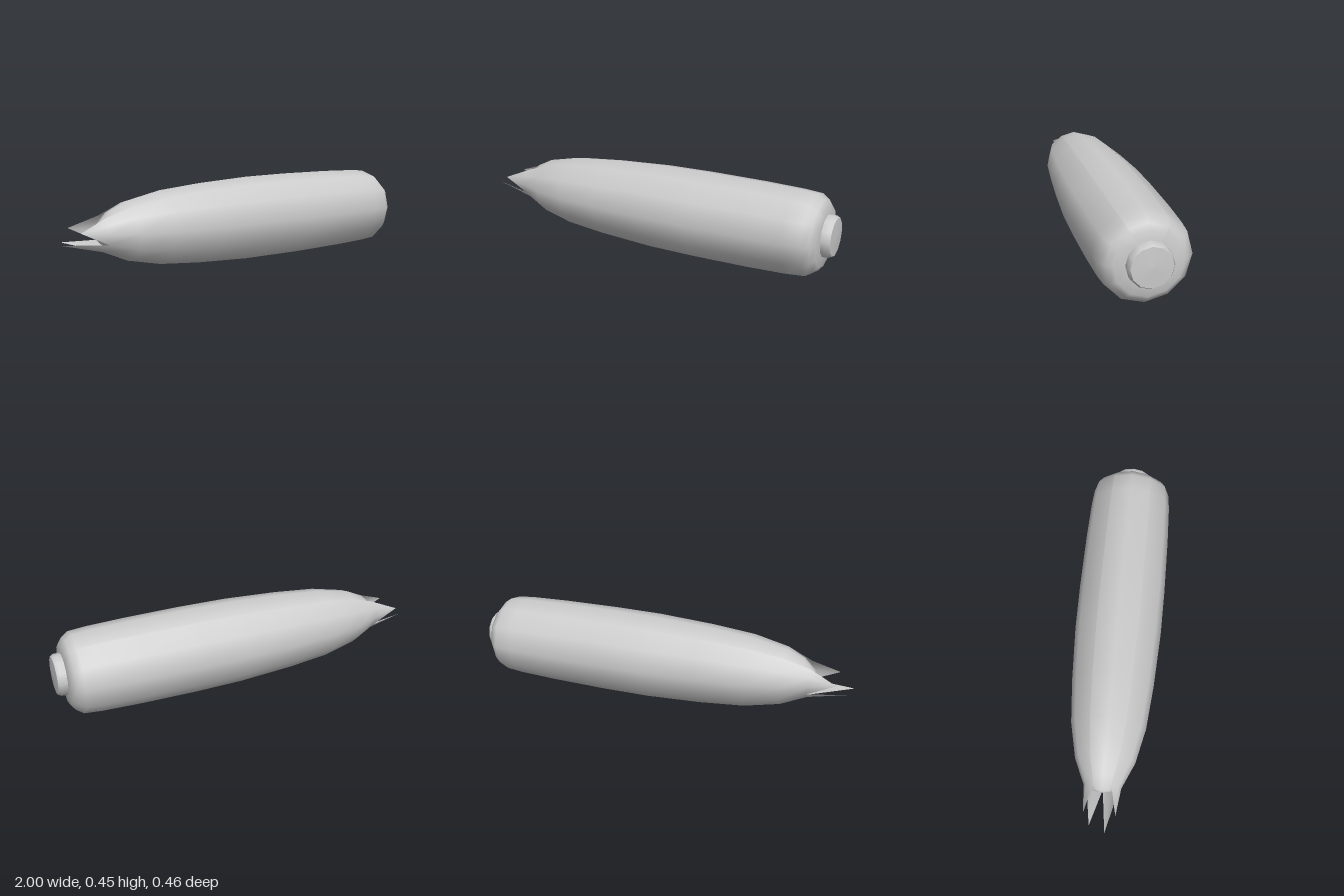
import * as THREE from 'three';

const AXIS_Y = 0.233;
const SIDES = 12;

// Husk profile along x: [x, radius]
const HUSK = [
  [-0.78, 0.094], [-0.65, 0.152], [-0.47, 0.192], [-0.24, 0.213], [0.05, 0.228], [0.3, 0.23],
  [0.6, 0.226], [0.8, 0.219], [0.89, 0.211], [0.925, 0.185], [0.945, 0.158], [0.95, 0.1],
];

// Leaves of the husk: first and last column, tip position
const LEAVES = [
  [1, 4, [-0.92, 0.255, 0.077]],
  [4, 6, [-1.0, 0.2, 0.03]],
  [6, 8, [-0.97, 0.2, -0.05]],
  [8, 11, [-0.92, 0.258, -0.082]],
];

const material = new THREE.MeshStandardMaterial({ color: 0xcccccc, side: THREE.DoubleSide });

// Turned solid lying along the x axis
function turned(name, profile) {
  const points = profile.map(([x, r]) => new THREE.Vector2(r, x));
  const geometry = new THREE.LatheGeometry(points, SIDES);
  geometry.rotateZ(-Math.PI / 2);
  geometry.translate(0, AXIS_Y, 0);
  const mesh = new THREE.Mesh(geometry, material);
  mesh.name = name;
  return mesh;
}

// Wrapped husk, open along the top, ending in pointed leaves
function makeHusk() {
  const positions = [];
  const index = [];
  const first = 1, last = SIDES - 1, columns = last - first + 1;
  const id = (i, j) => i * columns + (j - first);

  HUSK.forEach(([x, r]) => {
    for (let j = first; j <= last; j++) {
      const a = (j / SIDES) * Math.PI * 2;
      // The two free edges tuck in against the cob
      const radius = j === first || j === last ? r * 0.945 : r;
      positions.push(x, AXIS_Y + radius * Math.cos(a), radius * Math.sin(a));
    }
  });
  for (let i = 0; i < HUSK.length - 1; i++) {
    for (let j = first; j < last; j++) {
      index.push(id(i, j), id(i, j + 1), id(i + 1, j));
      index.push(id(i, j + 1), id(i + 1, j + 1), id(i + 1, j));
    }
  }
  // Each leaf fans from the end ring to its tip
  LEAVES.forEach(([from, to, tip]) => {
    const t = positions.length / 3;
    positions.push(...tip);
    for (let j = from; j < to; j++) index.push(t, id(0, j + 1), id(0, j));
  });

  const geometry = new THREE.BufferGeometry();
  geometry.setAttribute('position', new THREE.Float32BufferAttribute(positions, 3));
  geometry.setIndex(index);
  geometry.computeVertexNormals();
  const mesh = new THREE.Mesh(geometry, material);
  mesh.name = 'husk';
  return mesh;
}

export function createModel() {
  const model = new THREE.Group();
  model.name = 'cornEar';

  // Cob fills the husk and shows through the gap on top
  const cobBody = HUSK.slice(1).map(([x, r]) => [x, r * 0.943]);
  model.add(turned('cob', [[-0.81, 0], [-0.8, 0.045], [-0.74, 0.1], ...cobBody]));

  model.add(makeHusk());

  // Cut stalk; the doubled point keeps the rim of the flat end sharp
  model.add(turned('stalk', [
    [0.93, 0.105], [0.95, 0.105], [0.98, 0.104], [0.995, 0.095], [0.995, 0.095], [1.0, 0],
  ]));

  return model;
}
